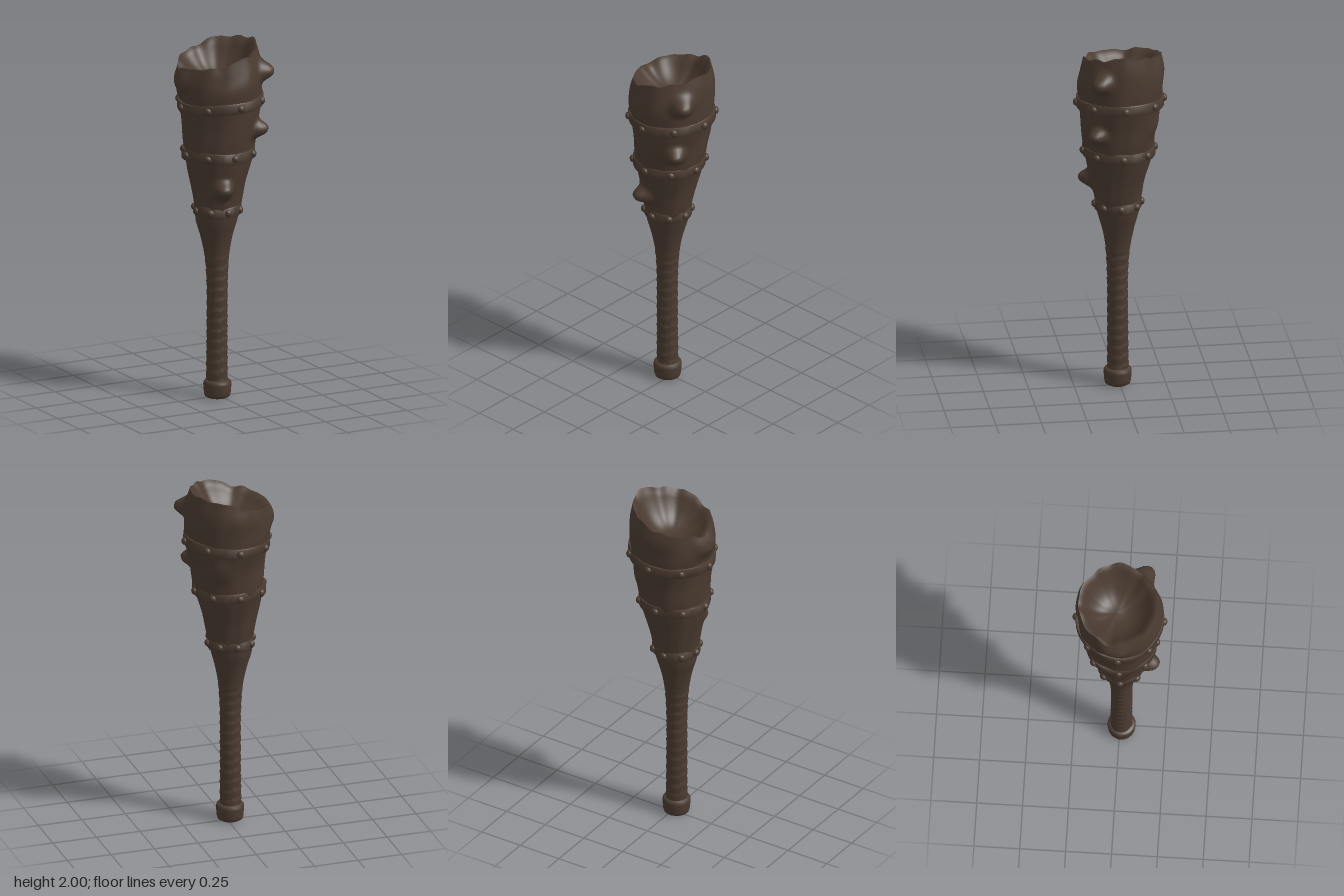
import * as THREE from 'three';
import { mergeVertices, toCreasedNormals } from 'three/addons/utils/BufferGeometryUtils.js';

// Trunk sections: height, then radius, centre x, centre z
const SECTIONS = [
  [0.06, 0.058, -0.022, 0.008], [0.4, 0.056, -0.022, 0.01], [0.72, 0.06, -0.022, 0.01],
  [0.82, 0.07, -0.023, 0.008], [0.92, 0.09, -0.024, 0.007], [1.0, 0.112, -0.024, 0.007],
  [1.06, 0.122, -0.02, 0.008], [1.2, 0.147, -0.018, 0.008], [1.38, 0.188, -0.012, 0.005],
  [1.55, 0.207, -0.003, 0.005], [1.67, 0.226, 0.0, 0.0], [1.8, 0.234, 0.0, -0.002],
  [1.9, 0.229, 0.0, -0.01], [2.0, 0.212, -0.005, -0.014],
];
const curve = new THREE.CubicInterpolant(
  SECTIONS.map(s => s[0]), SECTIONS.flatMap(s => s.slice(1)), 3, new Float32Array(3));
const section = y => [...curve.evaluate(Math.min(Math.max(y, 0.06), 2))];

// Broken-off branch stubs: angle, height, how far they stick out, width
const KNOTS = [
  [0.58, 1.84, 0.068, 0.05], [0.7, 1.52, 0.07, 0.045], [1.85, 1.2, 0.068, 0.045],
  [3.2, 1.81, 0.03, 0.075], [5.2, 1.55, 0.012, 0.06],
];

// Closed surface of rings; point(i, angle) gives [x, y, z]
function loft(rows, cols, point) {
  const pos = [], index = [];
  for (let i = 0; i < rows; i++) {
    for (let j = 0; j < cols; j++) pos.push(...point(i, j / cols * Math.PI * 2));
  }
  for (let i = 0; i < rows - 1; i++) {
    for (let j = 0; j < cols; j++) {
      const k = (j + 1) % cols, a = i * cols + j, b = i * cols + k;
      index.push(a, a + cols, b, b, a + cols, b + cols);
    }
  }
  const geo = new THREE.BufferGeometry();
  geo.setAttribute('position', new THREE.Float32BufferAttribute(pos, 3));
  geo.setIndex(index);
  geo.computeVertexNormals();
  return geo;
}

// Jagged, slanted top edge
const rimHeight = a => 1.932 + 0.055 * Math.cos(a + 0.1) + 0.006 * Math.sin(5 * a + 1)
  + 0.005 * Math.sin(9 * a) + 0.003 * Math.sin(14 * a + 2);

function trunkPoint(v, a) {
  const y = v < 1.7 ? v : 1.7 + (v - 1.7) / 0.3 * (rimHeight(a) - 1.7);
  let [r, cx, cz] = section(v);
  if (v < 0.8) {
    // spiral grip wrapping
    const turn = v / 0.058 + a / (Math.PI * 2);
    r += 0.005 * (turn - Math.floor(turn)) - 0.002;
  } else {
    // uneven bark
    const rough = Math.min(1, (v - 0.8) / 0.5);
    r += rough * (0.003 * Math.sin(5 * a + 4 * v) + 0.002 * Math.sin(11 * a + 7 * v)
      + 0.002 * Math.sin(3 * a + 23 * v));
  }
  for (const [ka, ky, out, width] of KNOTS) {
    const da = Math.atan2(Math.sin(a - ka), Math.cos(a - ka)) * r;
    r += out * Math.exp(-Math.pow((da * da + (y - ky) ** 2) / (width * width), 1.4));
  }
  return [cx + r * Math.cos(a), y, cz + r * Math.sin(a)];
}

export function createModel() {
  const club = new THREE.Group();
  club.name = 'club';
  const wood = new THREE.MeshStandardMaterial({ color: 0x4a3b31 });
  wood.name = 'darkWood';
  const add = (name, geo, parent = club) => {
    const mesh = new THREE.Mesh(geo, wood);
    mesh.name = name;
    parent.add(mesh);
    return mesh;
  };

  // Trunk wall, then the hollow top running down to its floor
  const outer = 200, inner = 18;
  add('trunk', loft(outer + inner, 96, (i, a) => {
    if (i < outer) return trunkPoint(0.06 + 1.94 * i / (outer - 1), a);
    const q = 1 - (i - outer + 1) / inner;
    const [x, y, z] = trunkPoint(2, a);
    const s = q * 0.95, floor = 1.785 + 0.012 * Math.sin(2 * a + 1) * q;
    return [-0.005 + (x + 0.005) * s, floor + (y - floor) * Math.pow(q, 2.6), -0.014 + (z + 0.014) * s];
  }));

  // Pommel
  const profile = [[0, 0], [0.055, 0], [0.068, 0.008], [0.073, 0.025], [0.077, 0.075],
    [0.075, 0.088], [0.068, 0.097], [0.05, 0.1]].map(p => new THREE.Vector2(...p));
  const lathe = new THREE.LatheGeometry(profile, 40);
  lathe.deleteAttribute('uv');
  lathe.deleteAttribute('normal');
  const pommelGeo = mergeVertices(lathe);
  pommelGeo.computeVertexNormals();
  add('pommel', pommelGeo).position.set(-0.02, 0, 0.01);

  // Studded bands: height, radius, centre x, centre z, tilt
  const bands = [
    [1.063, 0.129, -0.02, 0.008, 0], [1.383, 0.198, -0.012, 0.005, 0], [1.672, 0.239, 0.003, 0, 0.07],
  ];
  const studGeo = new THREE.SphereGeometry(0.021, 14, 10);
  const edge = [[-0.03, -0.025], [-0.03, -0.003], [-0.025, 0], [0.025, 0], [0.03, -0.003], [0.03, -0.025]];
  for (const [y, r, cx, cz, tilt] of bands) {
    const group = new THREE.Group();
    group.name = 'studdedBand';
    group.position.set(cx, y, cz);
    group.rotation.z = tilt;
    const wave = a => 0.003 * Math.sin(4 * a + y * 9);
    const band = loft(edge.length, 72, (i, a) => {
      const rr = r + edge[i][1] + wave(a);
      return [rr * Math.cos(a), edge[i][0] + 0.003 * Math.sin(3 * a + y * 5), rr * Math.sin(a)];
    });
    add('band', toCreasedNormals(band, 0.6), group);
    for (let k = 0; k < 8; k++) {
      const a = k * Math.PI / 4, rr = r + wave(a) + 0.001;
      const stud = add('stud', studGeo, group);
      stud.position.set(rr * Math.cos(a), 0, rr * Math.sin(a));
      stud.rotation.y = -a;
      stud.scale.x = 0.8;
    }
    club.add(group);
  }
  return club;
}
